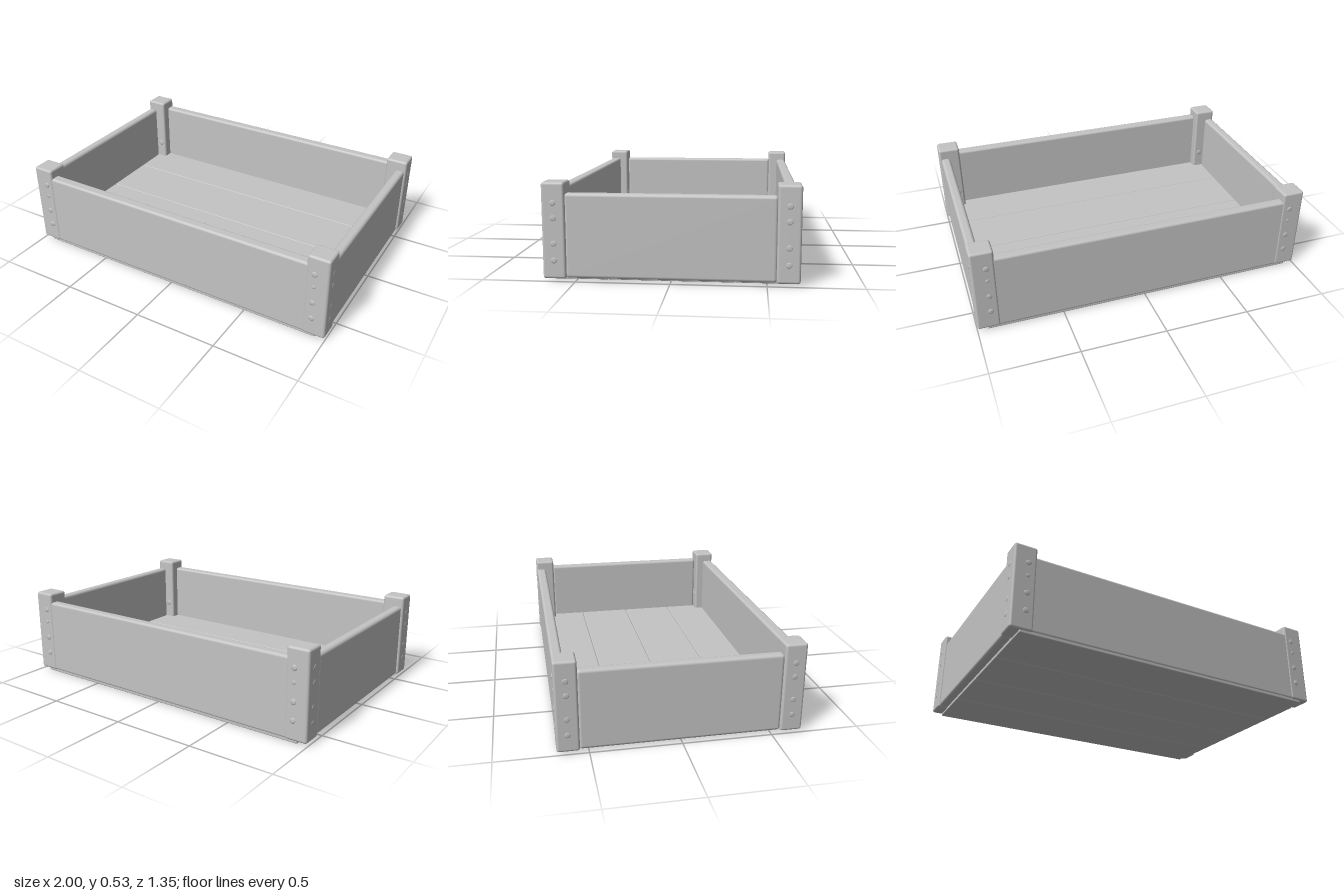
import * as THREE from 'three';
import { RoundedBoxGeometry } from 'three/addons/geometries/RoundedBoxGeometry.js';

export function createModel() {
  const crate = new THREE.Group();
  crate.name = 'crate';
  const wood = new THREE.MeshStandardMaterial({ color: 0xc4c4c4 });
  wood.name = 'plain grey';

  // Softly rounded board given by its minimum and maximum corners
  const board = (name, min, max, radius) => {
    const size = max.map((v, i) => v - min[i]);
    const mesh = new THREE.Mesh(new RoundedBoxGeometry(...size, 2, radius), wood);
    mesh.name = name;
    mesh.position.set(...max.map((v, i) => (v + min[i]) / 2));
    crate.add(mesh);
  };

  // Thick floor planks, separated by hairline gaps
  const seams = [-0.664, -0.335, 0, 0.335, 0.664];
  for (let i = 0; i < 4; i++) {
    board('floorPlank', [-0.94, 0.002, seams[i] + 0.001], [0.94, 0.092, seams[i + 1] - 0.001], 0.006);
  }

  // Long boards at front and back, short boards at the ends
  board('frontBoard', [-0.93, 0.015, 0.602], [0.93, 0.472, 0.667], 0.016);
  board('backBoard', [-0.93, 0.015, -0.667], [0.93, 0.472, -0.606], 0.016);
  board('leftBoard', [0.932, 0.018, -0.552], [0.99, 0.47, 0.552], 0.018);
  board('rightBoard', [-0.99, 0.018, -0.552], [-0.932, 0.47, 0.552], 0.018);

  // Flat nail head with its axis on +y, almost flush with the post
  const nailProfile = [[0.017, -0.004], [0.016, 0.002], [0.011, 0.0035], [0, 0.004]]
    .map(([x, y]) => new THREE.Vector2(x, y));
  const nailGeometry = new THREE.LatheGeometry(nailProfile, 12);
  const up = new THREE.Vector3(0, 1, 0);
  const nail = (x, y, z, direction, scale = 1) => {
    const mesh = new THREE.Mesh(nailGeometry, wood);
    mesh.name = 'nailHead';
    mesh.position.set(x, y, z);
    mesh.quaternion.setFromUnitVectors(up, direction);
    mesh.scale.setScalar(scale);
    crate.add(mesh);
  };

  // Corner posts with nails on the outer faces and the inner end face
  for (const sx of [-1, 1]) {
    for (const sz of [-1, 1]) {
      const xs = [sx * 0.867, sx * 0.999].sort((a, b) => a - b);
      const zs = [sz * 0.548, sz * 0.671].sort((a, b) => a - b);
      board('cornerPost', [xs[0], 0.016, zs[0]], [xs[1], 0.528, zs[1]], 0.014);
      const outX = new THREE.Vector3(sx, 0, 0);
      const outZ = new THREE.Vector3(0, 0, sz);
      for (const y of [0.13, 0.235, 0.34, 0.42]) nail(sx * 0.915, y, sz * 0.671, outZ, y === 0.34 ? 0.7 : 1);
      for (const y of [0.115, 0.205, 0.34, 0.42]) nail(sx * 0.997, y, sz * 0.61, outX);
      nail(sx * 0.905, 0.2, sz * 0.548, outZ.clone().negate(), 1.1);
    }
  }
  return crate;
}
